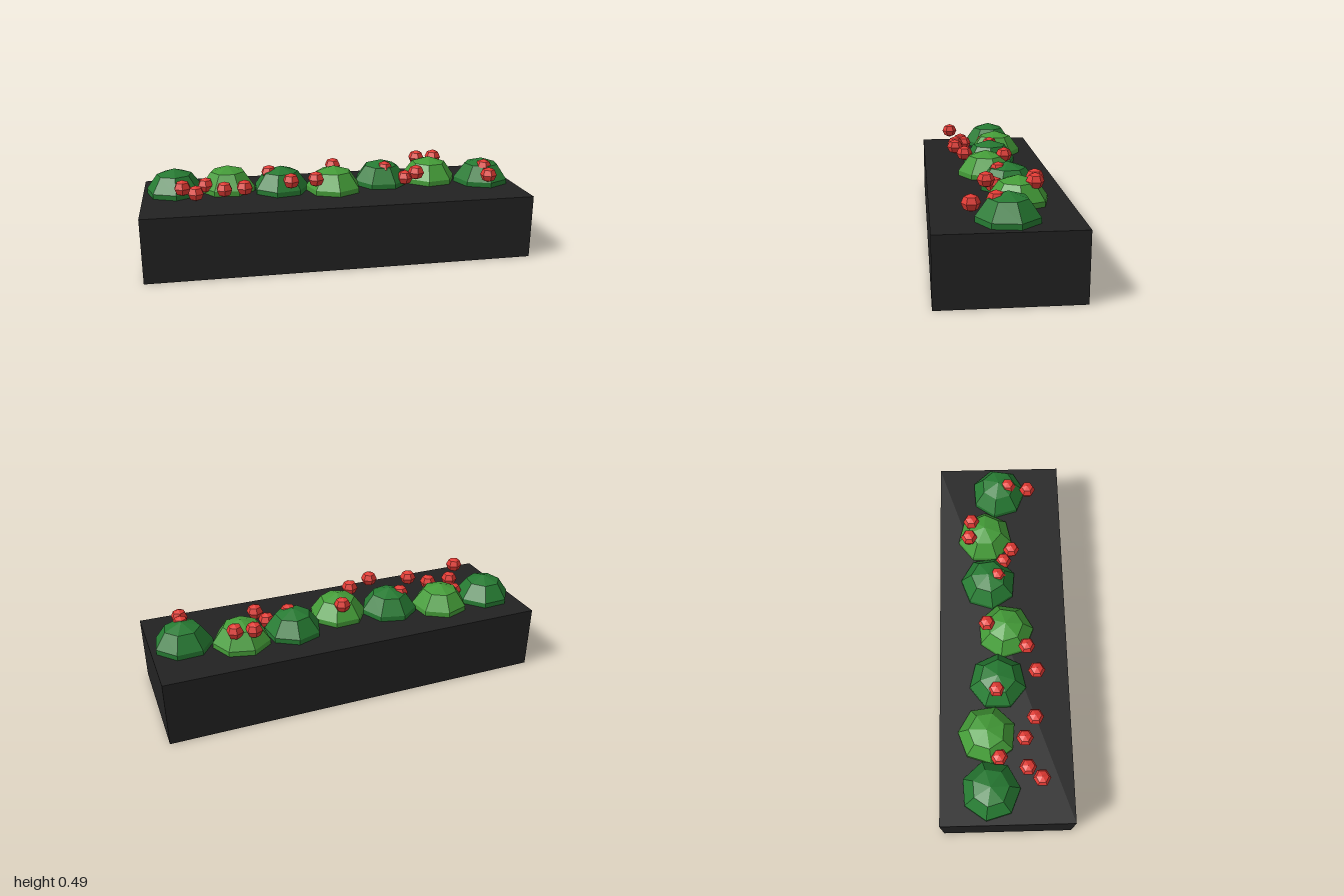
import * as THREE from 'three';

const material = (name, color) => {
  const m = new THREE.MeshStandardMaterial({ color, flatShading: true });
  m.name = name;
  return m;
};

export function createModel() {
  const model = new THREE.Group();
  model.name = 'flowerPlanter';

  const charcoal = material('charcoal', 0x222222);
  const darkGreen = material('dark green', 0x267a32);
  const lightGreen = material('light green', 0x449c38);
  const red = material('red', 0xe23a33);

  const add = (name, geometry, mat, x, y, z, turn = 0) => {
    const mesh = new THREE.Mesh(geometry, mat);
    mesh.name = name;
    mesh.position.set(x, y, z);
    mesh.rotation.y = turn;
    model.add(mesh);
  };

  // Solid planter trough
  add('planterBox', new THREE.BoxGeometry(2, 0.333, 0.667), charcoal, 0, 0.1665, 0);

  // Row of low-poly bushes, alternating greens, sunk into the trough
  const bush = new THREE.SphereGeometry(0.155, 7, 5);
  const bushZ = [-0.08, -0.093, -0.033, 0.013, -0.07, -0.085, -0.005];
  bushZ.forEach((z, i) => {
    const x = (i - 3) * 0.278;
    add('bush' + (i + 1), bush, i % 2 ? lightGreen : darkGreen, x, 0.311, z, 0.73 + (i - 6) * 0.3);
  });

  // Faceted blossoms scattered over the bushes: x, y, z
  const blossom = new THREE.SphereGeometry(0.044, 6, 4).scale(1, 0.92, 1);
  [
    [-0.79, 0.43, 0.17], [-0.727, 0.38, 0.106], [-0.675, 0.38, -0.035], [-0.583, 0.39, 0.095],
    [-0.483, 0.41, 0.15], [-0.34, 0.43, -0.04], [-0.248, 0.437, 0.165], [-0.113, 0.427, 0.12],
    [0.012, 0.442, -0.083], [0.288, 0.427, -0.022], [0.395, 0.38, 0.012], [0.444, 0.418, 0.055],
    [0.51, 0.442, -0.17], [0.603, 0.445, -0.157], [0.829, 0.43, 0.047], [0.817, 0.412, 0.155],
  ].forEach(([x, y, z], i) => add('blossom' + (i + 1), blossom, red, x, y, z, Math.PI / 6));

  return model;
}
